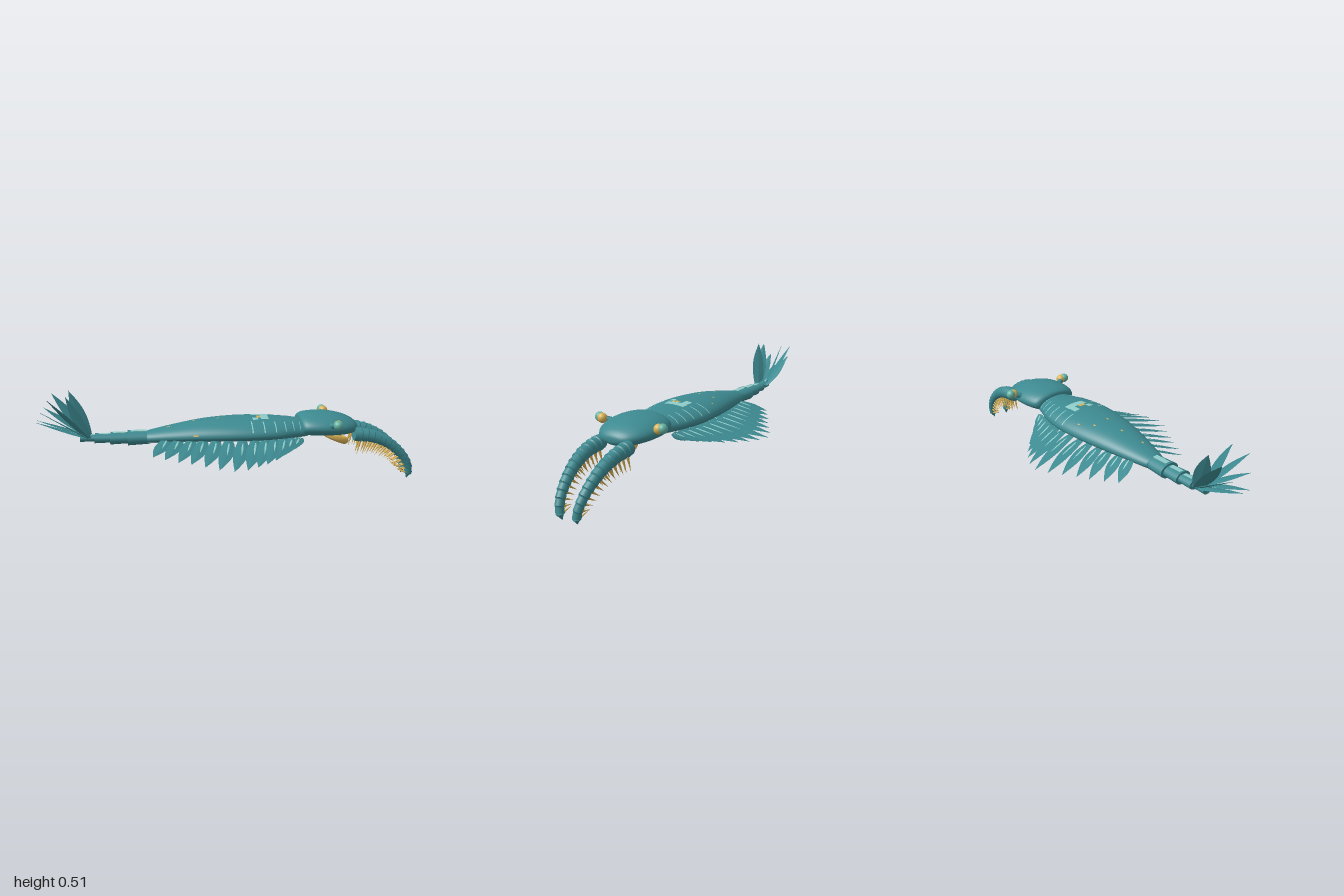
import * as THREE from 'three';

const mat = (name, color, side = THREE.FrontSide) => {
  const m = new THREE.MeshStandardMaterial({ color, side });
  m.name = name;
  return m;
};
const V = (x, y, z) => new THREE.Vector3(x, y, z);

// Surface from vertex rows; closed rows repeat their first column
function grid(rows, flat = false) {
  const n = rows[0].length, idx = [];
  for (let i = 0; i < rows.length - 1; i++)
    for (let j = 0; j < n - 1; j++) {
      const a = i * n + j, b = a + n;
      idx.push(a, b, b + 1, a, b + 1, a + 1);
    }
  let g = new THREE.BufferGeometry().setFromPoints(rows.flat());
  g.setIndex(idx);
  if (flat) g = g.toNonIndexed();
  g.computeVertexNormals();
  return g;
}

// Smooth hull along x; each section is [x, centreY, halfWidth, heightAbove, heightBelow]
function hull(sections) {
  const p = new THREE.CatmullRomCurve3(sections.map(s => V(s[0], s[1], s[2])), false, 'catmullrom');
  const q = new THREE.CatmullRomCurve3(sections.map(s => V(s[0], s[3], s[4])), false, 'catmullrom');
  const point = (t, a, grow) => {
    const c = p.getPoint(t), h = q.getPoint(t), s = Math.sin(a);
    return V(c.x, c.y + s * ((s > 0 ? h.y : h.z) + grow), Math.cos(a) * (Math.max(c.z, 0) + grow));
  };
  return (a0, a1, t0 = 0, t1 = 1, grow = 0, rows = 48, cols = 40) => {
    const out = [];
    for (let i = 0; i <= rows; i++) {
      const row = [];
      for (let j = 0; j <= cols; j++)
        row.push(point(t0 + (t1 - t0) * i / rows, a0 + (a1 - a0) * j / cols, grow));
      out.push(row);
    }
    return grid(out);
  };
}

// Pointed blade with a thin diamond section, bowed along its length
function blade(root, tip, chord, width, thick, bow = 1) {
  const dir = tip.clone().sub(root), c = chord.clone().normalize();
  const up = dir.clone().cross(c).normalize(), rows = [];
  for (let i = 0; i <= 10; i++) {
    const t = i / 10;
    const w = width * (t < 0.4 ? 0.62 + 0.38 * Math.sin(t / 0.4 * Math.PI / 2) : Math.cos((t - 0.4) / 0.6 * Math.PI / 2));
    const m = root.clone().addScaledVector(dir, t);
    m.x = root.x + dir.x * Math.pow(t, bow);
    const at = (v, d) => m.clone().addScaledVector(v, d), h = thick * (1 - t * 0.85);
    rows.push([at(c, w), at(up, h), at(c, -w), at(up, -h), at(c, w)]);
  }
  return grid(rows, true);
}

// Tapered round piece from a to b
function between(a, b, ra, rb, sides = 20) {
  const d = b.clone().sub(a), g = new THREE.CylinderGeometry(rb, ra, d.length(), sides);
  g.applyQuaternion(new THREE.Quaternion().setFromUnitVectors(V(0, 1, 0), d.clone().normalize()));
  const m = a.clone().add(b).multiplyScalar(0.5);
  return g.translate(m.x, m.y, m.z);
}

export function createModel() {
  const root = new THREE.Group();
  root.name = 'swimmingArthropod';
  const teal = mat('teal shell', 0x3d8a91, THREE.DoubleSide);
  const pale = mat('pale teal', 0x8fccc8, THREE.DoubleSide);
  const gold = mat('gold', 0xd8b055, THREE.DoubleSide);
  const eyeMat = mat('eye green', 0x62b3a3);
  const dark = mat('dark mouth', 0x4a3a28, THREE.DoubleSide);
  const add = (name, g, m, parent = root) => {
    const mesh = new THREE.Mesh(g, m);
    mesh.name = name;
    parent.add(mesh);
    return mesh;
  };

  // Trunk: teal back and pale belly
  const trunk = hull([
    [-0.44, 0.268, 0.045, 0.025, 0.025], [-0.43, 0.268, 0.06, 0.034, 0.03], [-0.3, 0.278, 0.098, 0.05, 0.035],
    [-0.15, 0.287, 0.135, 0.065, 0.042], [0, 0.292, 0.16, 0.07, 0.046], [0.13, 0.293, 0.166, 0.069, 0.048],
    [0.25, 0.292, 0.15, 0.064, 0.045], [0.34, 0.29, 0.118, 0.058, 0.04], [0.4, 0.29, 0.1, 0.052, 0.035],
  ]);
  add('back', trunk(-0.5, Math.PI + 0.5), teal);
  add('belly', trunk(Math.PI + 0.5, Math.PI * 2 - 0.5), pale);

  // Fine pale seams on the flanks
  for (let i = 0; i < 6; i++) {
    const t = 0.59 + i * 0.062;
    for (const a of [0.3, Math.PI - 1.05])
      add('backSeam', trunk(a, a + 0.75, t, t + 0.006, 0.002, 1, 10), pale);
  }
  // Pale saddle with a gold centre, and small gold flecks: [t, angle, length, arc]
  for (const [t, a, l, w] of [[0.65, 1.62, 0.042, 0.72], [0.605, 1.85, 0.045, 0.22], [0.605, 1.29, 0.03, 0.2]])
    add('backPatch', trunk(a - w / 2, a + w / 2, t, t + l, 0.002, 4, 10), pale);
  for (const [t, a, l, w] of [[0.63, 1.5, 0.02, 0.24], [0.435, 2.1, 0.012, 0.06], [0.5, 2.4, 0.012, 0.06],
    [0.33, 1.6, 0.012, 0.08], [0.435, 1.5, 0.012, 0.06], [0.22, 1.35, 0.012, 0.1], [0.33, 0.2, 0.02, 0.12]])
    add('goldFleck', trunk(a - w / 2, a + w / 2, t, t + l, 0.0025, 2, 4), gold);

  // Head shield
  const head = hull([
    [0.362, 0.316, 0.001, 0.001, 0.001], [0.363, 0.316, 0.085, 0.035, 0.033], [0.375, 0.316, 0.122, 0.052, 0.05],
    [0.41, 0.316, 0.14, 0.061, 0.055], [0.47, 0.314, 0.15, 0.066, 0.055], [0.54, 0.312, 0.147, 0.063, 0.054],
    [0.6, 0.308, 0.129, 0.054, 0.049], [0.645, 0.303, 0.098, 0.041, 0.039], [0.668, 0.3, 0.066, 0.027, 0.026],
    [0.677, 0.299, 0.035, 0.014, 0.013], [0.679, 0.299, 0.001, 0.001, 0.001],
  ]);
  add('headShield', head(-Math.PI / 2, Math.PI * 1.5), teal);

  // Mouth ring with teeth, tilted downwards at the front
  const mouth = new THREE.Group();
  mouth.name = 'mouth';
  mouth.position.set(0.57, 0.237, 0);
  mouth.rotation.z = -0.4;
  root.add(mouth);
  const ring = new THREE.TorusGeometry(0.053, 0.019, 14, 40).rotateX(Math.PI / 2).scale(1.08, 1, 0.68);
  add('mouthRing', ring, gold, mouth);
  add('mouthCavity', new THREE.CircleGeometry(0.047, 32).rotateX(Math.PI / 2).scale(1, 1, 0.66).translate(0, 0.006, 0), dark, mouth);
  for (let i = 0; i < 12; i++) {
    const a = i / 12 * Math.PI * 2, c = Math.cos(a), s = Math.sin(a) * 0.64;
    for (const y of [-0.004, 0.014])
      add('mouthTooth', between(V(c * 0.04, y, s * 0.04), V(c * 0.022, y, s * 0.022), 0.006, 0.0005, 6), gold, mouth);
  }

  // Tail segments with pale top plates
  const cuts = [-0.425, -0.54, -0.63, -0.71, -0.785];
  const ty = x => 0.266 + Math.max(0, -0.6 - x) * 0.04;
  for (let i = 0; i < 4; i++) {
    const x0 = cuts[i], x1 = cuts[i + 1], r = 0.058 - i * 0.0095;
    const flatten = g => g.translate(0, -ty(x0), 0).scale(1, 0.66, 1).translate(0, ty(x0), 0);
    add('tailSegment', flatten(between(V(x0, ty(x0), 0), V(x1, ty(x1), 0), r * 0.87, r, 24)), teal);
    if (i === 3) continue;
    const plate = new THREE.BoxGeometry((x0 - x1) * 0.75, 0.004, r * 0.5);
    add('tailTopPlate', plate.translate((x0 + x1) / 2, ty(x0) + r * 0.62, 0), pale);
  }

  // Flap tips from front to back: [x, z]
  const tips = [[0.31, 0.16], [0.27, 0.21], [0.23, 0.26], [0.19, 0.31], [0.14, 0.355], [0.09, 0.39], [0.035, 0.42],
    [-0.03, 0.43], [-0.1, 0.405], [-0.165, 0.365], [-0.23, 0.325], [-0.29, 0.295], [-0.355, 0.255], [-0.415, 0.215]];
  // Tail fan blades: [tip x, y, z, half width, forward lean of the outer edge]
  const fan = [[-0.84, 0.508, 0.078, 0.038, 1.3], [-0.93, 0.495, 0.09, 0.034, 0.7],
    [-0.97, 0.425, 0.06, 0.03, 0.3], [-1, 0.366, 0.022, 0.024, 0]];

  const armPath = [[0.65, 0.272, 0.083], [0.75, 0.256, 0.082], [0.83, 0.222, 0.077], [0.9, 0.168, 0.069],
    [0.95, 0.108, 0.06], [0.973, 0.05, 0.051], [0.966, 0.002, 0.044]];

  for (const s of [1, -1]) {
    const side = new THREE.Group();
    side.name = s > 0 ? 'rightSideParts' : 'leftSideParts';
    root.add(side);

    // Swimming flaps, each with a pale rib near the root
    tips.forEach(([x, z], i) => {
      const rx = Math.min(x + 0.075, 0.35);
      const u = (rx + 0.44) / 0.8;
      const rz = 0.035 + 0.105 * Math.sin(Math.min(u * 1.05, 1) * Math.PI * 0.72);
      const a = V(rx, 0.268, s * rz), b = V(x, 0.24 - 0.09 * z, s * z), chord = V(s, s * -0.12, 0);
      add('swimFlap', blade(a, b, chord, i < 2 ? 0.028 : 0.038, 0.005, 1.35), teal, side);
      const ribStart = a.clone().lerp(b, 0.12).add(V(0.008, 0.005, 0));
      add('flapRib', blade(ribStart, a.clone().lerp(b, 0.55).add(V(0.015, 0.003, 0)), chord, 0.005, 0.002), pale, side);
    });

    // Tail fan blades
    for (const [x, y, z, w, lean] of fan)
      add('tailBlade', blade(V(-0.745, 0.276, s * 0.025), V(x, y, s * z), V(lean, lean * 0.35, s), w, 0.005), teal, side);

    // Grasping arm of overlapping rings, with paired spines beneath
    const curve = new THREE.CatmullRomCurve3(armPath.map(p => V(p[0], p[1], s * p[2])));
    const N = 14;
    for (let i = 0; i < N; i++) {
      const t0 = i / N, t1 = (i + 1) / N;
      const a = curve.getPointAt(t0), b = curve.getPointAt(t1), r = 0.039 - 0.021 * t0;
      const last = i === N - 1;
      add('armSegment', between(a, b, r * 0.9, last ? 0.001 : r), teal, side);
      if (last) continue;
      add('armRim', between(b, curve.getPointAt(t1 + 0.012), r, r * 0.85), teal, side);
      const tan = curve.getTangentAt(t1), down = V(tan.y, -tan.x, 0).normalize();
      const len = 0.076 - 0.036 * t0;
      for (const k of [-1, 1]) {
        const base = b.clone().addScaledVector(down, r * 0.75).add(V(0, 0, k * r * 0.35));
        const end = base.clone().addScaledVector(down, len).addScaledVector(tan, -0.008).add(V(0, 0, k * 0.004));
        add('armSpine', between(base, end, 0.008 - 0.003 * t0, 0.0005, 8), gold, side);
      }
    }

    // Stalked eye
    add('eyeStalk', between(V(0.5, 0.325, s * 0.11), V(0.525, 0.339, s * 0.156), 0.017, 0.015), teal, side);
    add('eyeCuff', new THREE.SphereGeometry(0.025, 24, 16).translate(0.538, 0.344, s * 0.168), gold, side);
    add('eye', new THREE.SphereGeometry(0.0245, 24, 16).translate(0.533, 0.347, s * 0.187), eyeMat, side);
  }
  return root;
}
